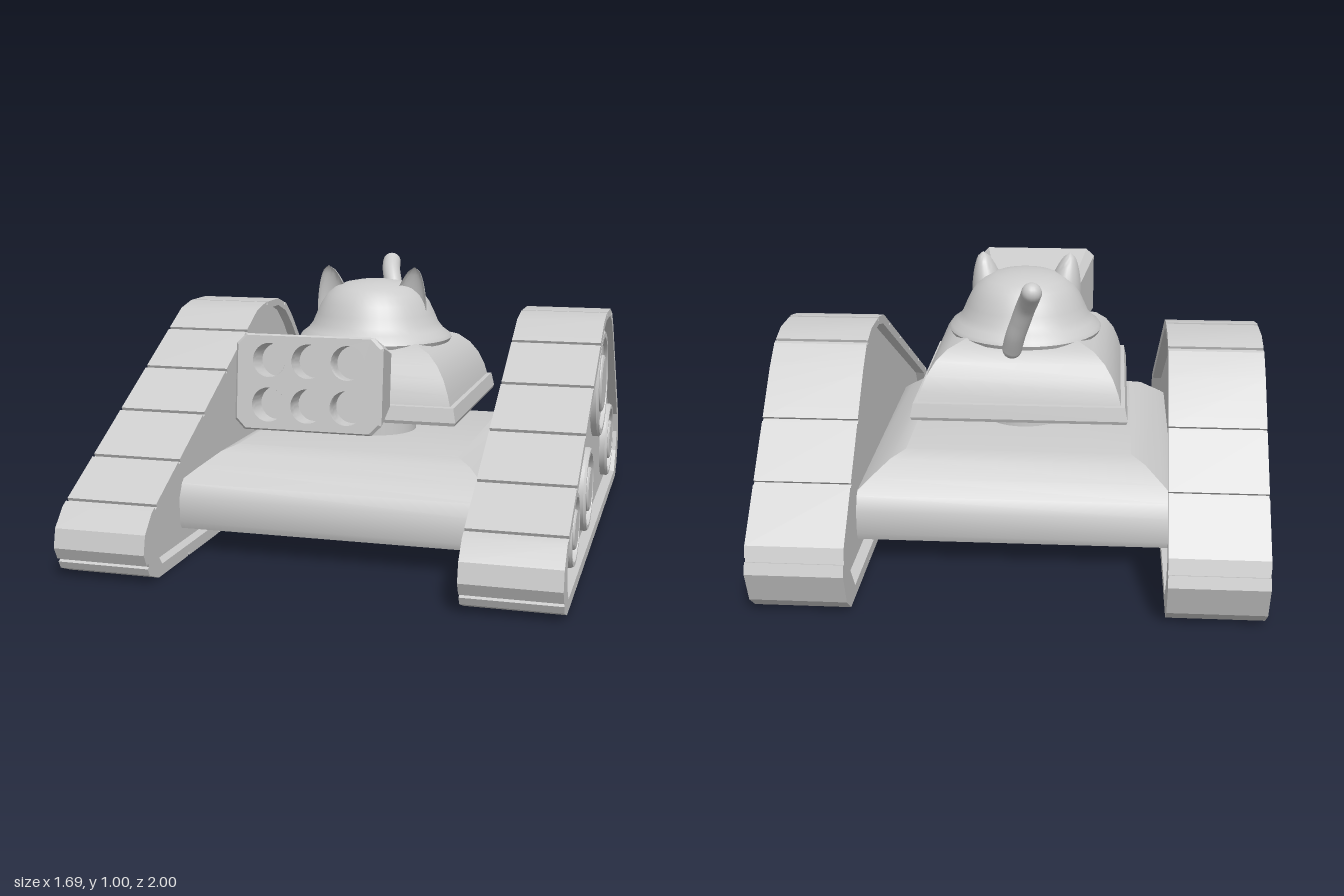
import * as THREE from 'three';
import { toCreasedNormals } from 'three/addons/utils/BufferGeometryUtils.js';

const grey = new THREE.MeshStandardMaterial({ color: 0xcccccc });
const CENTRE_Z = 0.02; // hull, turret and head share this axis

function add(parent, name, geometry, crease) {
  const mesh = new THREE.Mesh(crease ? toCreasedNormals(geometry, crease) : geometry, grey);
  mesh.name = name;
  parent.add(mesh);
  return mesh;
}

const vectors = (pts) => pts.map(([x, y]) => new THREE.Vector2(x, y));

// Profile of [half width, y] turned with four sides: a square block
function squareBlock(profile) {
  const pts = vectors(profile.map(([r, y]) => [r * Math.SQRT2, y]));
  return new THREE.LatheGeometry(pts, 4, Math.PI / 4);
}

// Track outline as [z, y, fractions along the next edge that carry a groove]
const OUTLINE = [
  [0.89, 0, [0.14, 0.3, 0.46, 0.62, 0.81]], [-0.9, 0], [-0.96, 0.05], [-1, 0.16, [0.5]],
  [-0.97, 0.25, [0.34, 0.7]], [-0.53, 0.71], [-0.45, 0.775, [0.2]], [-0.35, 0.805, [0.9]],
  [-0.2, 0.805], [-0.1, 0.785, [0.12, 0.335, 0.555, 0.775, 0.97]], [0.93, 0.235],
  [0.985, 0.175], [1, 0.11, [0.6]], [0.96, 0.03],
];
const INSET = [
  [0.86, 0.04], [0.9, 0.09], [0.91, 0.16], [0.86, 0.235], [-0.12, 0.755], [-0.2, 0.777],
  [-0.35, 0.777], [-0.44, 0.745], [-0.52, 0.68], [-0.88, 0.28], [-0.9, 0.2], [-0.88, 0.12], [-0.82, 0.04],
];

function groovedOutline() {
  const out = [];
  OUTLINE.forEach(([z, y, grooves = []], i) => {
    const a = new THREE.Vector2(z, y);
    const next = OUTLINE[(i + 1) % OUTLINE.length];
    const d = new THREE.Vector2(next[0], next[1]).sub(a);
    const length = d.length();
    d.normalize();
    const inward = new THREE.Vector2(d.y, -d.x);
    out.push([a.x, a.y]);
    for (const f of grooves) {
      for (const [along, deep] of [[-0.007, 0], [-0.007, 0.012], [0.007, 0.012], [0.007, 0]]) {
        const p = a.clone().addScaledVector(d, f * length + along).addScaledVector(inward, deep);
        out.push([p.x, p.y]);
      }
    }
  });
  return out;
}

// Extrude a [z, y] outline across x, centred on x = 0
function sidePlate(outline, width, hole) {
  const flip = (pts) => vectors(pts.map(([z, y]) => [-z, y]));
  const shape = new THREE.Shape(flip(outline));
  if (hole) shape.holes.push(new THREE.Path(flip(hole)));
  const g = new THREE.ExtrudeGeometry(shape, { depth: width, bevelEnabled: false });
  return g.translate(0, 0, -width / 2).rotateY(Math.PI / 2);
}

function wheelGeometry(r) {
  return new THREE.LatheGeometry(vectors([
    [r, 0], [r, 0.022], [r * 0.96, 0.03], [r * 0.86, 0.03], [r * 0.83, 0.015],
    [r * 0.53, 0.015], [r * 0.53, 0.028], [r * 0.48, 0.033], [0, 0.033],
  ]), 36);
}

function buildTrack(side) {
  const track = new THREE.Group();
  track.name = side > 0 ? 'leftTrack' : 'rightTrack';
  add(track, 'trackBelt', sidePlate(groovedOutline(), 0.325, INSET), 0.35);
  add(track, 'trackPanel', sidePlate(INSET, 0.25), 0.35);
  // Road wheels sit on the outer panel only: [z, y, radius]
  for (const [z, y, r] of [[0.62, 0.195, 0.125], [0.19, 0.22, 0.15], [-0.235, 0.53, 0.205], [-0.64, 0.22, 0.15]]) {
    const wheel = add(track, 'wheel', wheelGeometry(r), 0.4);
    wheel.rotation.z = -side * Math.PI / 2;
    wheel.position.set(side * 0.125, y, z);
  }
  track.position.x = side * 0.6825;
  return track;
}

// Ear: cone with a rounded tip whose front half is pushed inwards to a hollow
function earGeometry(side) {
  const g = new THREE.CylinderGeometry(1, 1, 1, 24, 12);
  const p = g.attributes.position;
  for (let i = 0; i < p.count; i++) {
    const t = p.getY(i) + 0.5;
    const w = Math.sqrt(1 - t * t) * (1 - 0.3 * t);
    const z = p.getZ(i);
    p.setXYZ(i,
      side * 0.135 + p.getX(i) * 0.073 * w + side * 0.03 * t,
      0.8 + 0.188 * t,
      0.085 + (z > 0 ? -0.45 * z : z) * 0.1 * w * (side ? 1 : 0));
  }
  return g;
}

// Launcher block between s0 and s1 of its length; it widens to the front, with a small front chamfer
function launcherBlock(s0, s1, withTubes) {
  const w = 0.245, h = 0.155, c = 0.032, length = 0.36;
  const shape = new THREE.Shape(vectors([
    [w - c, -h], [w, c - h], [w, h - c], [w - c, h], [c - w, h], [-w, h - c], [-w, c - h], [c - w, -h],
  ]));
  if (withTubes) {
    for (const x of [-0.135, 0, 0.135]) for (const y of [-0.074, 0.074]) {
      const hole = new THREE.Path();
      hole.absarc(x, y, 0.057, 0, Math.PI * 2, true);
      shape.holes.push(hole);
    }
  }
  const g = new THREE.ExtrudeGeometry(shape, {
    depth: s1 - s0, steps: withTubes ? 8 : 1, curveSegments: 24, bevelEnabled: false,
  }).translate(0, 0, s0);
  const p = g.attributes.position;
  for (let i = 0; i < p.count; i++) {
    const z = p.getZ(i);
    const k = z > length - 0.001 ? 0.965 : 0.74 + 0.26 * z / (length - 0.01);
    p.setXY(i, p.getX(i) * k, p.getY(i) * k);
  }
  return g;
}

export function createModel() {
  const model = new THREE.Group();
  model.name = 'trackedVehicle';

  model.add(buildTrack(1), buildTrack(-1));

  // Hull, neck and turret
  const body = new THREE.Group();
  body.name = 'body';
  body.position.z = CENTRE_Z;
  model.add(body);
  add(body, 'hull', squareBlock([
    [0, 0.09], [0.59, 0.09], [0.6, 0.115], [0.6, 0.2], [0.575, 0.25], [0.52, 0.295], [0.455, 0.345], [0.405, 0.365], [0, 0.365],
  ]), 0.5);
  add(body, 'neck', new THREE.CylinderGeometry(0.155, 0.155, 0.14, 32).translate(0, 0.42, 0));
  add(body, 'turret', squareBlock([
    [0, 0.468], [0.385, 0.468], [0.39, 0.48], [0.38, 0.53], [0.365, 0.532], [0.355, 0.57],
    [0.335, 0.62], [0.305, 0.665], [0.265, 0.7], [0.2, 0.725], [0, 0.73],
  ]), 0.5);

  // Domed head with a rounded brim
  add(body, 'head', new THREE.LatheGeometry(vectors([
    [0, 0.7], [0.26, 0.7], [0.28, 0.706], [0.287, 0.72], [0.28, 0.733], [0.255, 0.752], [0.237, 0.775],
    [0.222, 0.81], [0.203, 0.85], [0.18, 0.883], [0.15, 0.907], [0.11, 0.923], [0.06, 0.932], [0, 0.935],
  ]), 40), 0.7);

  for (const side of [1, -1]) {
    add(model, side > 0 ? 'leftEar' : 'rightEar', earGeometry(side), 0.9);
  }

  // Curved tail with a round tip
  const path = new THREE.CatmullRomCurve3([
    [0.03, 0.71, -0.255], [0.015, 0.77, -0.285], [-0.005, 0.83, -0.31], [-0.025, 0.89, -0.34],
    [-0.042, 0.935, -0.38], [-0.05, 0.962, -0.42],
  ].map((p) => new THREE.Vector3(...p)));
  const tail = new THREE.Group();
  tail.name = 'tail';
  model.add(tail);
  add(tail, 'tailStem', new THREE.TubeGeometry(path, 24, 0.036, 16));
  for (const t of [0, 1]) {
    add(tail, 'tailEnd', new THREE.SphereGeometry(0.036, 16, 12)).position.copy(path.getPoint(t));
  }

  // Launcher on its arm, tilted slightly upwards
  const launcher = new THREE.Group();
  launcher.name = 'launcher';
  launcher.position.set(0, 0.638, 0.5);
  launcher.rotation.x = -0.115;
  model.add(launcher);
  add(launcher, 'launcherBody', launcherBlock(0, 0.28, false), 0.4);
  add(launcher, 'launcherFront', launcherBlock(0.28, 0.36, true), 0.4);
  add(launcher, 'launcherArm', new THREE.BoxGeometry(0.18, 0.12, 0.3).translate(0, 0.005, -0.14));

  return model;
}
